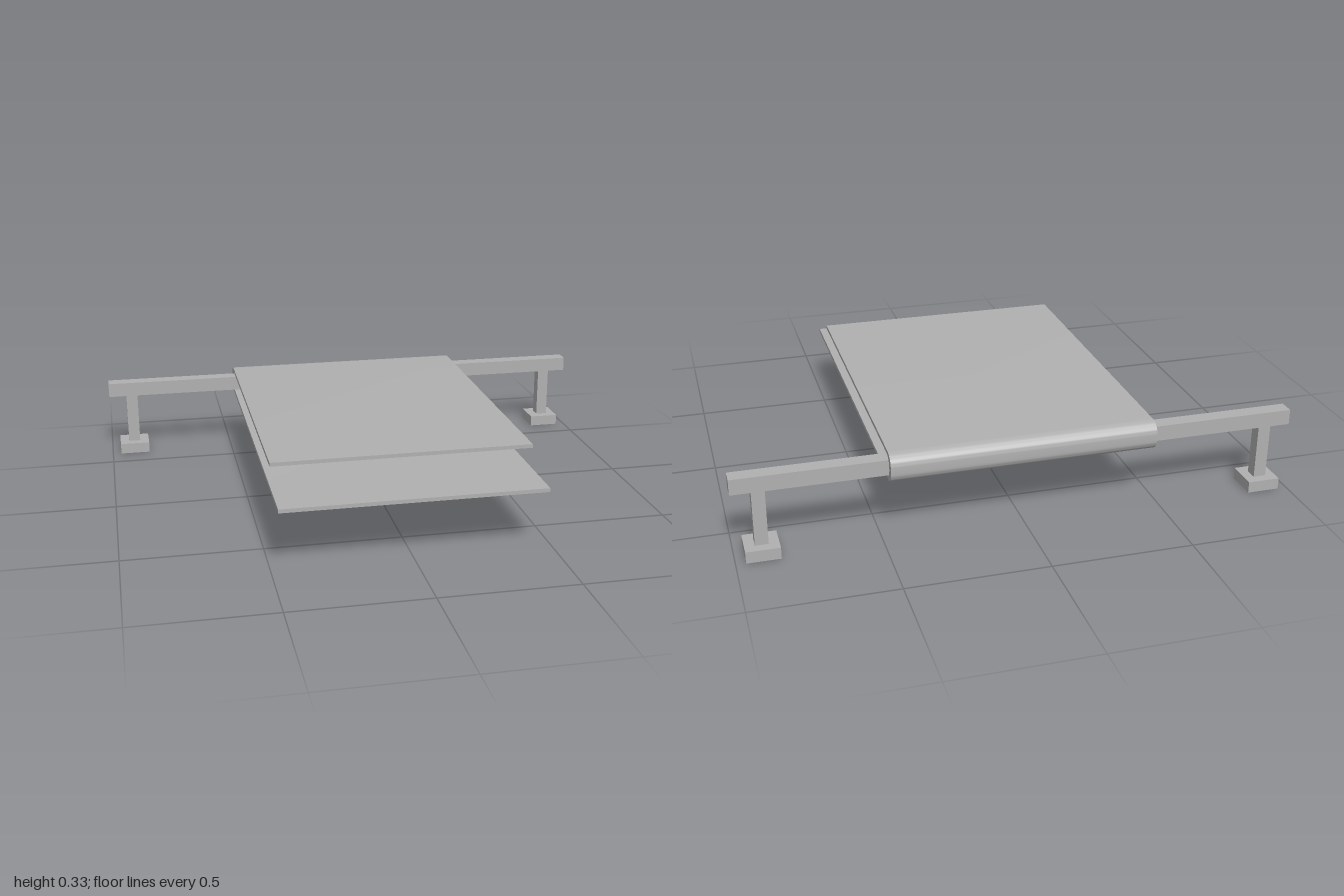
import * as THREE from 'three';
import { toCreasedNormals } from 'three/addons/utils/BufferGeometryUtils.js';

export function createModel() {
  const group = new THREE.Group();
  const grey = new THREE.MeshStandardMaterial({ color: 0xb0b0b0 });
  grey.name = 'grey';

  const box = (name, w, h, d, x, y, z) => {
    const mesh = new THREE.Mesh(new THREE.BoxGeometry(w, h, d), grey);
    mesh.name = name;
    mesh.position.set(x, y, z);
    group.add(mesh);
  };

  // Rail with a post and a square foot near each end
  const railZ = -0.656;
  box('rail', 2, 0.056, 0.056, 0, 0.271, railZ);
  for (const [side, s] of [['left', 1], ['right', -1]]) {
    box(side + 'Post', 0.046, 0.202, 0.046, s * 0.907, 0.143, railZ);
    box(side + 'Foot', 0.118, 0.042, 0.118, s * 0.907, 0.021, railZ);
  }

  // Towel: side profile drawn as (-z, y), folded around the back of the rail
  const profile = new THREE.Shape();
  profile.moveTo(-0.517, 0.326);
  profile.lineTo(0.672, 0.326);
  profile.bezierCurveTo(0.7, 0.326, 0.719, 0.309, 0.719, 0.285);
  profile.lineTo(0.719, 0.262);
  profile.bezierCurveTo(0.719, 0.238, 0.7, 0.221, 0.672, 0.221);
  profile.lineTo(-0.719, 0.221);
  profile.lineTo(-0.719, 0.235);
  profile.lineTo(0.655, 0.235);
  profile.bezierCurveTo(0.68, 0.235, 0.693, 0.25, 0.693, 0.273);
  profile.bezierCurveTo(0.693, 0.297, 0.68, 0.312, 0.655, 0.312);
  profile.lineTo(-0.517, 0.312);
  profile.closePath();

  const width = 0.945;
  const geometry = new THREE.ExtrudeGeometry(profile, { depth: width, bevelEnabled: false, curveSegments: 10 });
  geometry.translate(0, 0, -width / 2);
  geometry.rotateY(Math.PI / 2);
  const towel = new THREE.Mesh(toCreasedNormals(geometry, 0.6), grey);
  towel.name = 'towel';
  group.add(towel);

  return group;
}
